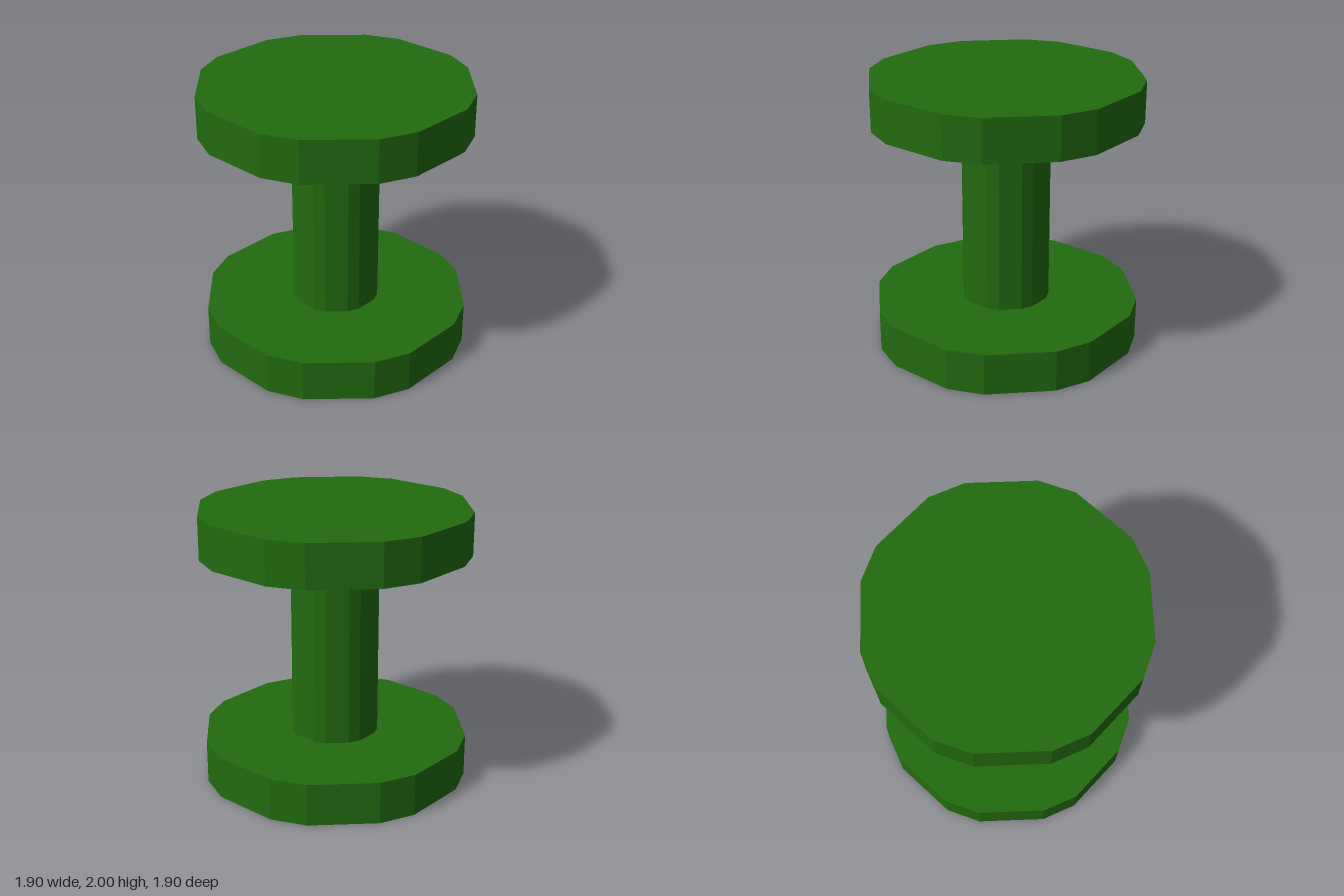
import * as THREE from 'three';

// One quarter of the faceted outline, mirrored by quarter turns into 16 corners
const QUARTER = [[0.95, 0.25], [0.85, 0.5], [0.5, 0.85], [0.25, 0.95]];

function outline(scale) {
  const points = [];
  for (let turn = 0; turn < 4; turn++) {
    for (const [x, y] of QUARTER) {
      points.push(new THREE.Vector2(x * scale, y * scale)
        .rotateAround(new THREE.Vector2(), turn * Math.PI / 2));
    }
  }
  return new THREE.Shape(points);
}

export function createModel() {
  const group = new THREE.Group();
  group.name = 'spool';
  const green = new THREE.MeshStandardMaterial({ color: 0x226b10, flatShading: true });

  // Upright prism from the outline, standing between two heights
  function addPrism(name, scale, bottom, top) {
    const geometry = new THREE.ExtrudeGeometry(outline(scale), { depth: top - bottom, bevelEnabled: false });
    geometry.rotateX(-Math.PI / 2);
    const mesh = new THREE.Mesh(geometry, green);
    mesh.name = name;
    mesh.position.y = bottom;
    group.add(mesh);
  }

  addPrism('bottomFlange', 1, 0, 0.31);
  addPrism('shaft', 0.33, 0.31, 1.69);
  addPrism('topFlange', 1, 1.69, 2);

  return group;
}
